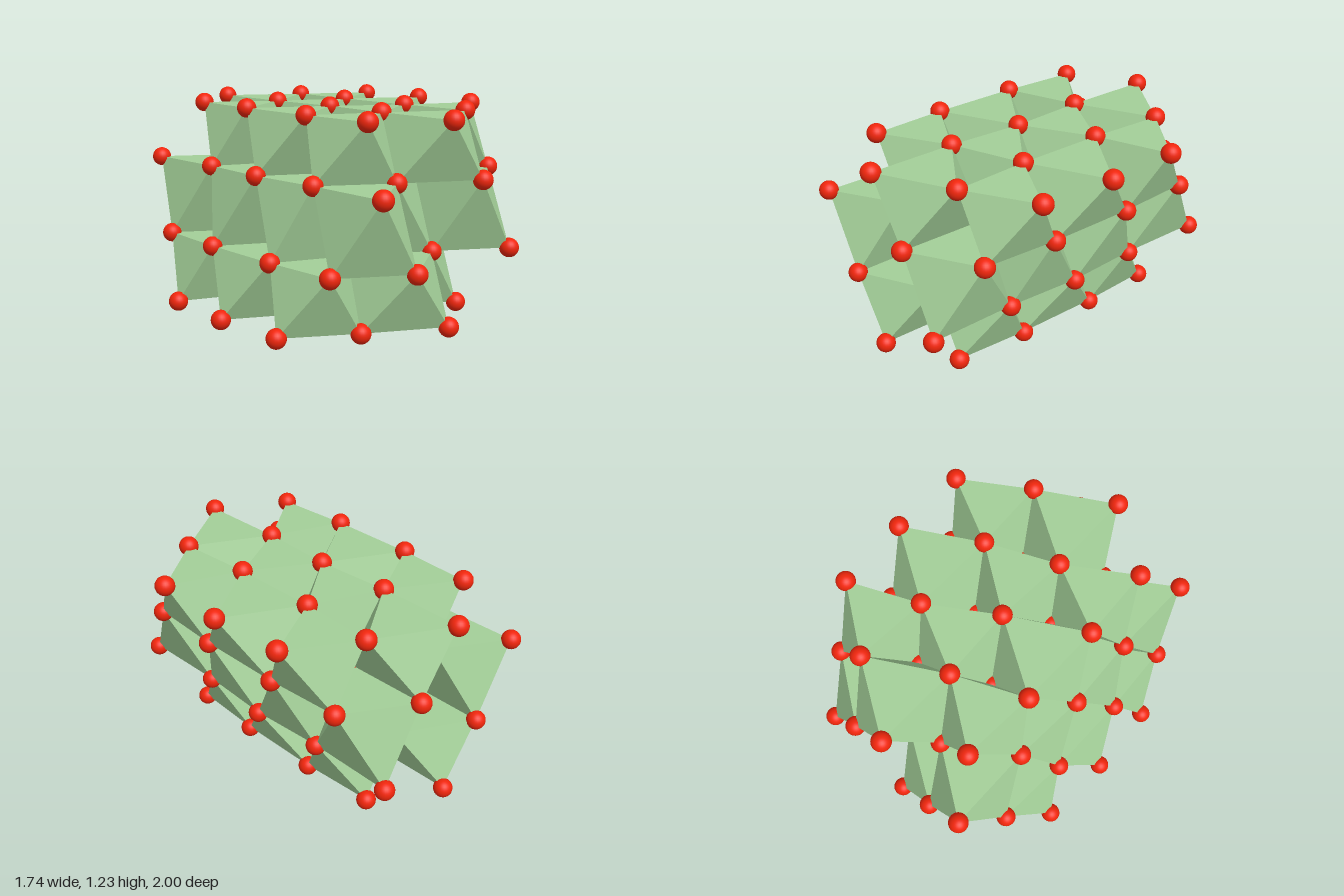
import * as THREE from 'three';
import { ConvexGeometry } from 'three/addons/geometries/ConvexGeometry.js';

const RADIUS = 0.056;
const MID_Y = 0.618;
const COLUMN = 0.3975; // spacing of atom columns along x
const ROW_Z = [0, 0.252, 0.438, 0.69, 0.944]; // row distance from the centre plane

// Upper two atom layers: height above the middle and x offset for each row.
const OUTER = { h: 0.56, dx: [0.02, -0.005, -0.005, 0.02, 0] };
const INNER = { h: 0.213, dx: [0.245, 0.2725, 0.27, 0.2475, 0.265] };
// The lower two are the same layers turned upside down through the centre.
const invert = ({ h, dx }) => ({ h: -h, dx: dx.map((x) => -x) });
const LAYERS = [OUTER, INNER, invert(INNER), invert(OUTER)];

// Gaps between layers: columns from the upper apex to the lower pair and
// lower apex, and the apex columns with their rows.
const EVEN = [-2, 0, 2];
const ODD = [-3, -1, 1, 3];
const GAPS = [
  { pair: -1, apex: -2, cells: [[0, EVEN], [1, ODD], [2, EVEN]] },
  { pair: 1, apex: 0, cells: [[-1, ODD], [0, EVEN], [1, ODD]] },
  { pair: -1, apex: -2, cells: [[0, EVEN], [1, ODD], [2, EVEN]] },
];

export function createModel() {
  const group = new THREE.Group();
  group.name = 'crystalLattice';
  const octahedra = new THREE.Group();
  octahedra.name = 'octahedra';
  const atoms = new THREE.Group();
  atoms.name = 'cornerAtoms';
  group.add(octahedra, atoms);

  const green = new THREE.MeshStandardMaterial({ color: 0xa3cf98, flatShading: true });
  const red = new THREE.MeshStandardMaterial({ color: 0xf0260c });
  const ball = new THREE.SphereGeometry(RADIUS, 24, 16);
  const corners = new Map();

  // Position of one lattice corner; each is shared between its octahedra
  const corner = (layer, column, row) => {
    const key = `${layer},${column},${row}`;
    if (!corners.has(key)) {
      const { h, dx } = LAYERS[layer];
      const r = Math.abs(row);
      corners.set(key, new THREE.Vector3(
        column * COLUMN + dx[r], MID_Y + h, Math.sign(row) * ROW_Z[r]));
    }
    return corners.get(key);
  };

  // Octahedra: an upper triangle and an opposed lower triangle
  GAPS.forEach(({ pair, apex, cells }, g) => {
    for (const [c, rows] of cells) {
      for (const k of rows) {
        const points = [
          corner(g, c, k), corner(g, c - 1, k - 1), corner(g, c - 1, k + 1),
          corner(g + 1, c + apex, k),
          corner(g + 1, c + pair, k - 1), corner(g + 1, c + pair, k + 1),
        ];
        const mesh = new THREE.Mesh(new ConvexGeometry(points), green);
        mesh.name = 'octahedron';
        octahedra.add(mesh);
      }
    }
  });

  // A ball on every corner
  for (const position of corners.values()) {
    const mesh = new THREE.Mesh(ball, red);
    mesh.name = 'atom';
    mesh.position.copy(position);
    atoms.add(mesh);
  }
  return group;
}
